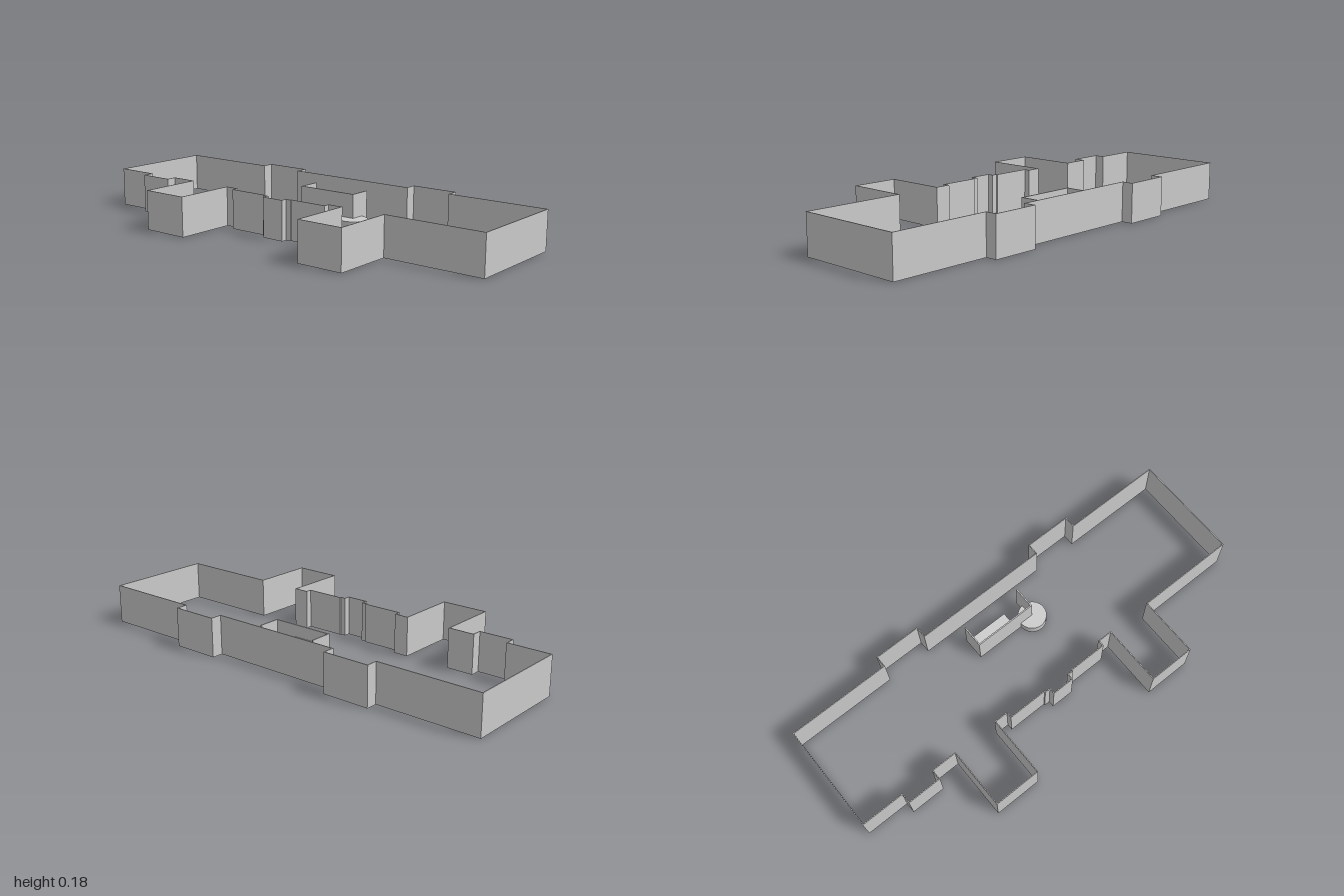
import * as THREE from 'three';

const WALL_HEIGHT = 0.178;
const WALL_THICKNESS = 0.004;

// Outer footprint of the building as [x, z], clockwise seen from above
const FOOTPRINT = [
  // back and left side, with two shallow bays
  [-0.138, -1], [0.362, -1], [0.362, -0.525], [0.414, -0.525], [0.414, -0.305], [0.362, -0.305],
  [0.362, 0.32], [0.414, 0.32], [0.414, 0.54], [0.362, 0.54], [0.362, 1], [-0.138, 1],
  // front wing
  [-0.138, 0.545], [-0.417, 0.545], [-0.417, 0.33], [-0.138, 0.33],
  // stepped entrance
  [-0.138, 0.267], [-0.165, 0.267], [-0.165, 0.09], [-0.171, 0.09], [-0.171, 0.065], [-0.198, 0.065],
  [-0.198, -0.04], [-0.171, -0.04], [-0.171, -0.065], [-0.165, -0.065], [-0.165, -0.248], [-0.138, -0.248],
  // back wing and small bay
  [-0.138, -0.307], [-0.417, -0.307], [-0.417, -0.525], [-0.138, -0.525],
  [-0.138, -0.64], [-0.184, -0.64], [-0.184, -0.8], [-0.138, -0.8],
];

// Moves every corner of a right-angled outline inwards by t
function inset(points, t) {
  const n = points.length;
  const inward = (a, b) => [-Math.sign(b[1] - a[1]), Math.sign(b[0] - a[0])];
  return points.map((p, i) => {
    const m = inward(points[(i + n - 1) % n], p);
    const k = inward(p, points[(i + 1) % n]);
    return [p[0] + t * (m[0] + k[0]), p[1] + t * (m[1] + k[1])];
  });
}

export function createModel() {
  const group = new THREE.Group();
  const material = new THREE.MeshStandardMaterial({ color: 0xcccccc, flatShading: true });

  function add(name, geometry, parent = group) {
    const mesh = new THREE.Mesh(geometry, material);
    mesh.name = name;
    parent.add(mesh);
    return mesh;
  }

  // Box given by its lower and upper corners
  function addBox(name, a, b, parent) {
    const geometry = new THREE.BoxGeometry(b[0] - a[0], b[1] - a[1], b[2] - a[2]);
    add(name, geometry, parent).position.set((a[0] + b[0]) / 2, (a[1] + b[1]) / 2, (a[2] + b[2]) / 2);
  }

  // Thin outer walls following the footprint, open above and below
  const toVectors = (points) => points.map(([x, z]) => new THREE.Vector2(x, z));
  const plan = new THREE.Shape(toVectors(FOOTPRINT));
  plan.holes.push(new THREE.Path(toVectors(inset(FOOTPRINT, WALL_THICKNESS))));
  const walls = new THREE.ExtrudeGeometry(plan, { depth: WALL_HEIGHT, bevelEnabled: false });
  walls.rotateX(Math.PI / 2).translate(0, WALL_HEIGHT, 0);
  add('outerWalls', walls);

  // Booth: a long panel, two end panels and a desk top
  const booth = new THREE.Group();
  booth.name = 'booth';
  group.add(booth);
  const t = 0.006, h = 0.152;
  addBox('boothLongPanel', [0.185, 0, -0.143], [0.185 + t, h, 0.153], booth);
  addBox('boothBackPanel', [0.185 + t, 0, -0.143], [0.288, h, -0.143 + t], booth);
  addBox('boothFrontPanel', [0.185 + t, 0, 0.153 - t], [0.288, h, 0.153], booth);
  addBox('deskTop', [0.185 + t, 0.088, -0.143 + t], [0.25, 0.098, 0.046], booth);

  // Low round table at the corner of the booth
  const table = add('roundTable', new THREE.CylinderGeometry(0.065, 0.065, 0.043, 32));
  table.material = new THREE.MeshStandardMaterial({ color: 0xcccccc });
  table.position.set(0.184, 0.0215, 0.154);

  return group;
}
